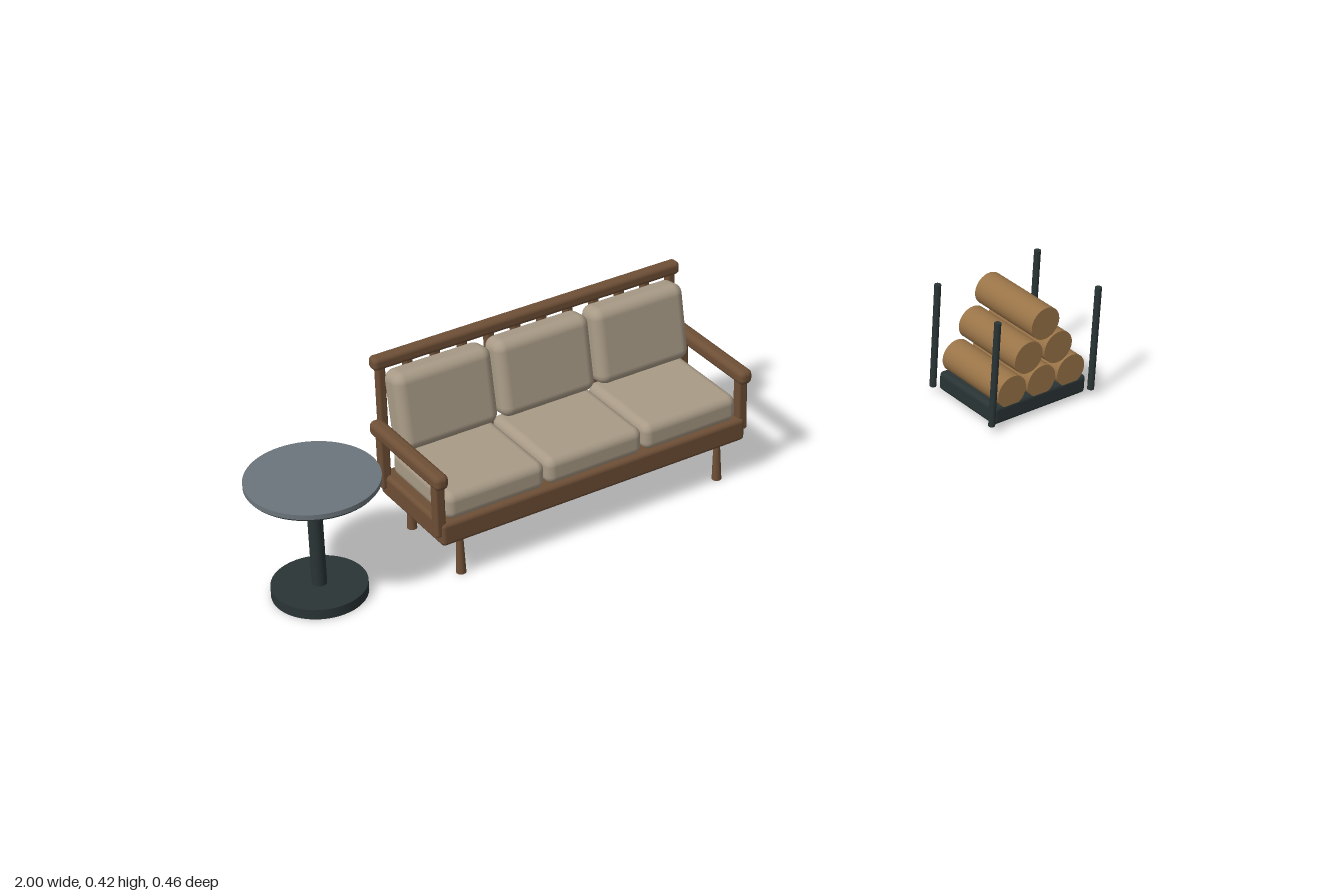
import * as THREE from 'three';
import { RoundedBoxGeometry } from 'three/addons/geometries/RoundedBoxGeometry.js';

const paint = (name, color) => {
  const m = new THREE.MeshStandardMaterial({ color });
  m.name = name;
  return m;
};

export function createModel() {
  const wood = paint('brown wood', 0x6e4f36);
  const fabric = paint('beige fabric', 0xa89a86);
  const bark = paint('log wood', 0x9a7448);
  const metal = paint('dark metal', 0x2a3435);
  const stone = paint('grey tabletop', 0x6b757b);

  const add = (parent, name, geo, mat, x, y, z) => {
    const m = new THREE.Mesh(geo, mat);
    m.name = name;
    m.position.set(x, y, z);
    parent.add(m);
    return m;
  };
  const group = (parent, name, x, z) => {
    const g = new THREE.Group();
    g.name = name;
    g.position.set(x, 0, z);
    parent.add(g);
    return g;
  };
  const rbox = (w, h, d, r, s = 4) => new RoundedBoxGeometry(w, h, d, s, r);
  // upright cylinder, by radii and bottom/top heights
  const upright = (parent, name, rTop, rBot, y0, y1, mat, x, z, sides = 16) =>
    add(parent, name, new THREE.CylinderGeometry(rTop, rBot, y1 - y0, sides), mat, x, (y0 + y1) / 2, z);

  const model = new THREE.Group();
  model.name = 'loungeSet';

  // Round side table
  const table = group(model, 'sideTable', -0.858, -0.073);
  upright(table, 'tableBase', 0.102, 0.102, 0, 0.023, metal, 0, 0, 48);
  upright(table, 'tableColumn', 0.016, 0.016, 0.02, 0.268, metal, 0, 0, 24);
  upright(table, 'tabletopUnderside', 0.138, 0.138, 0.265, 0.27, metal, 0, 0, 64);
  upright(table, 'tabletop', 0.142, 0.142, 0.27, 0.281, stone, 0, 0, 64);

  // Sofa: seat frame and top rail
  const sofa = group(model, 'sofa', -0.25, -0.074);
  add(sofa, 'seatFrame', rbox(0.766, 0.055, 0.262, 0.01), wood, 0, 0.1225, 0);
  add(sofa, 'topRail', rbox(0.77, 0.03, 0.03, 0.01), wood, 0, 0.408, -0.139);

  // Back slats
  const slats = 12;
  for (let i = 0; i < slats; i++) {
    const x = -0.365 + (0.73 * i) / (slats - 1);
    add(sofa, 'backSlat', rbox(0.02, 0.25, 0.02, 0.006, 2), wood, x, 0.278, -0.139);
  }

  // Arms, arm posts and legs, mirrored
  for (const s of [-1, 1]) {
    add(sofa, 'armrest', rbox(0.033, 0.035, 0.286, 0.013), wood, s * 0.381, 0.255, -0.003);
    for (const f of [-1, 1]) {
      add(sofa, 'armPost', rbox(0.024, 0.132, 0.024, 0.006, 2), wood, s * 0.381, 0.184, f * 0.114);
      upright(sofa, 'sofaLeg', 0.007, 0.011, 0, 0.1, wood, s * 0.327, f * 0.103);
    }
  }

  // Seat and back cushions
  for (let i = -1; i <= 1; i++) {
    add(sofa, 'seatCushion', rbox(0.241, 0.064, 0.236, 0.02, 5), fabric, i * 0.245, 0.179, 0.008);
    const back = add(sofa, 'backCushion', rbox(0.236, 0.178, 0.07, 0.024, 5), fabric, i * 0.245, 0.306, -0.095);
    back.rotation.x = -0.16;
  }

  // Log rack: tray and corner posts
  const rack = group(model, 'logRack', 0.845, 0.114);
  add(rack, 'rackTray', rbox(0.27, 0.047, 0.204, 0.01), metal, 0, 0.0345, 0);
  for (const s of [-1, 1]) {
    for (const f of [-1, 1]) {
      upright(rack, 'rackPost', 0.008, 0.008, 0.02, 0.286, metal, s * 0.146, f * 0.107);
    }
  }

  // Stacked logs, three rows
  for (let row = 0; row < 3; row++) {
    const n = 3 - row;
    for (let i = 0; i < n; i++) {
      const x = (i - (n - 1) / 2) * 0.086;
      const log = add(rack, 'log', new THREE.CylinderGeometry(0.04, 0.04, 0.202, 32), bark, x, 0.086 + row * 0.0745, 0);
      log.rotation.x = Math.PI / 2;
    }
  }
  return model;
}
